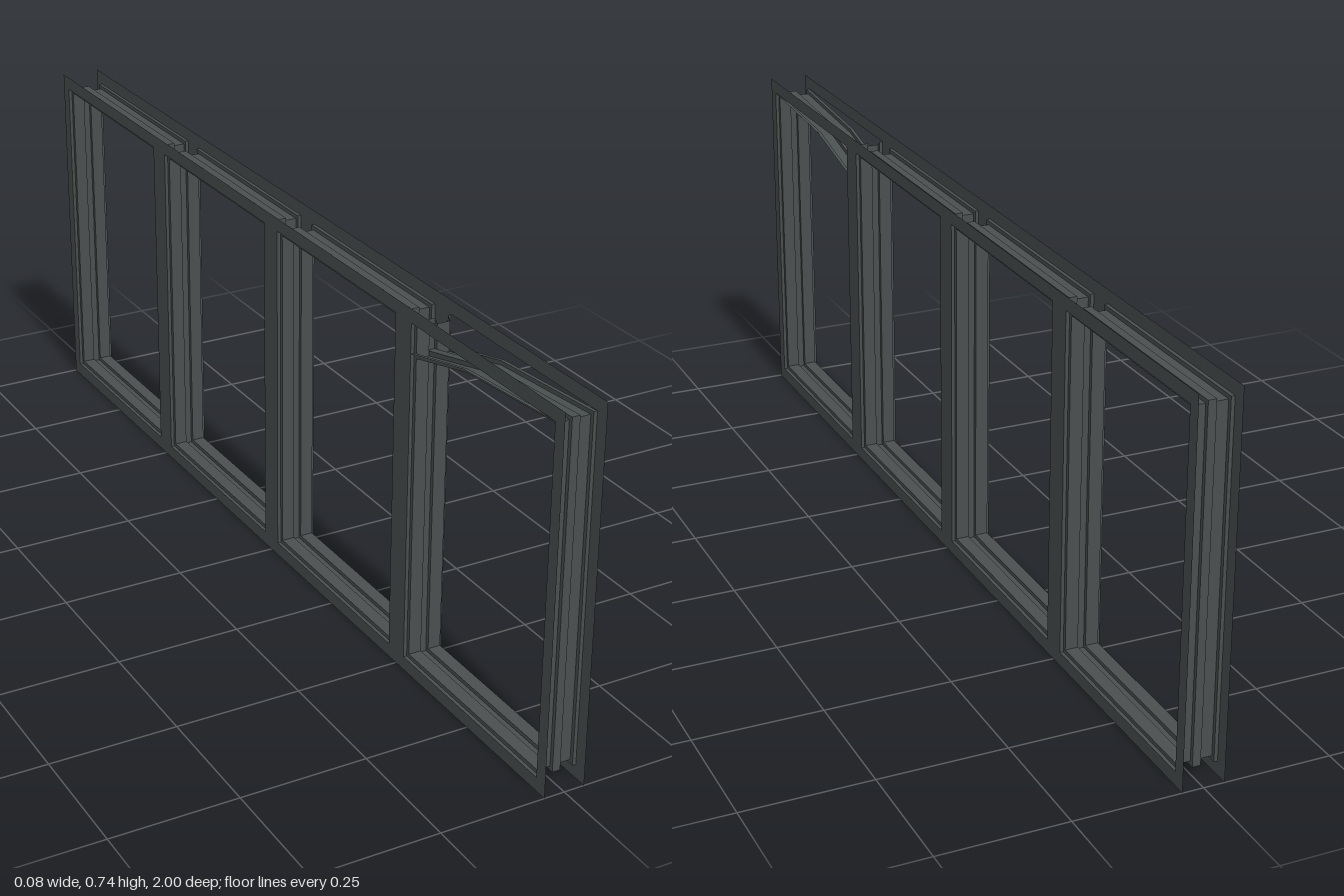
import * as THREE from 'three';

const H = 0.736, LOW = 0.027, HIGH = 0.709, HALF = 0.041, STEP = 0.008;

// Opening centres along z, and half the width of each opening
const BAYS = [-0.75, -0.25, 0.25, 0.75], HALF_BAY = 0.223;

// Lining cross-section: [x, depth into the opening], with a central glazing groove
const PROFILE = [
  [-HALF, 0], [-0.034, 0], [-0.034, STEP], [-0.008, STEP], [-0.008, 0],
  [0.008, 0], [0.008, STEP], [0.034, STEP], [0.034, 0], [HALF, 0],
];

// Sweeps the profile along points [z, y, inward z, inward y]
function sweep(path) {
  const pos = [];
  const at = ([z, y, dz, dy], [x, d]) => [x, y + dy * d, z + dz * d];
  for (let i = 0; i < path.length - 1; i++) {
    for (let j = 0; j < PROFILE.length - 1; j++) {
      const a = at(path[i], PROFILE[j]), b = at(path[i + 1], PROFILE[j]);
      const c = at(path[i + 1], PROFILE[j + 1]), d = at(path[i], PROFILE[j + 1]);
      pos.push(...a, ...b, ...c, ...a, ...c, ...d);
    }
  }
  const g = new THREE.BufferGeometry();
  g.setAttribute('position', new THREE.Float32BufferAttribute(pos, 3));
  g.computeVertexNormals();
  return g;
}

// Flat rectangle outline, as a shape or a hole
function rectangle(target, x0, y0, x1, y1) {
  target.moveTo(x0, y0);
  target.lineTo(x1, y0);
  target.lineTo(x1, y1);
  target.lineTo(x0, y1);
  target.closePath();
  return target;
}

export function createModel() {
  const group = new THREE.Group();
  group.name = 'windowFrame';
  const metal = new THREE.MeshStandardMaterial({ color: 0x4a4f4f, side: THREE.DoubleSide });
  metal.name = 'dark grey metal';
  const add = (name, geometry) => {
    const mesh = new THREE.Mesh(geometry, metal);
    mesh.name = name;
    group.add(mesh);
    return mesh;
  };

  // Two flat faces, each pierced by the four openings
  const face = rectangle(new THREE.Shape(), -1, 0, 1, H);
  for (const c of BAYS) {
    face.holes.push(rectangle(new THREE.Path(), c - HALF_BAY, LOW, c + HALF_BAY, HIGH));
  }
  for (const [name, side] of [['leftFace', 1], ['rightFace', -1]]) {
    const plate = add(name, new THREE.ShapeGeometry(face));
    plate.rotation.y = side * Math.PI / 2;
    plate.position.x = side * HALF;
  }

  // Stepped linings around each opening
  BAYS.forEach((c, i) => {
    const back = c - HALF_BAY, front = c + HALF_BAY;
    const corners = [
      [back, LOW, 1, 1], [front, LOW, -1, 1], [front, HIGH, -1, -1], [back, HIGH, 1, -1],
    ];
    ['sill', 'frontJamb', 'head', 'backJamb'].forEach((part, k) => {
      let path = [corners[k], corners[(k + 1) % 4]];
      // The head lining of the foremost opening has come loose and sags
      if (part === 'head' && i === 3) {
        path = [corners[2], [0.7, 0.69, 0, -1], [back, 0.65, 1, -1]];
      }
      add(`${part}Lining${i + 1}`, sweep(path));
    });
  });
  return group;
}
